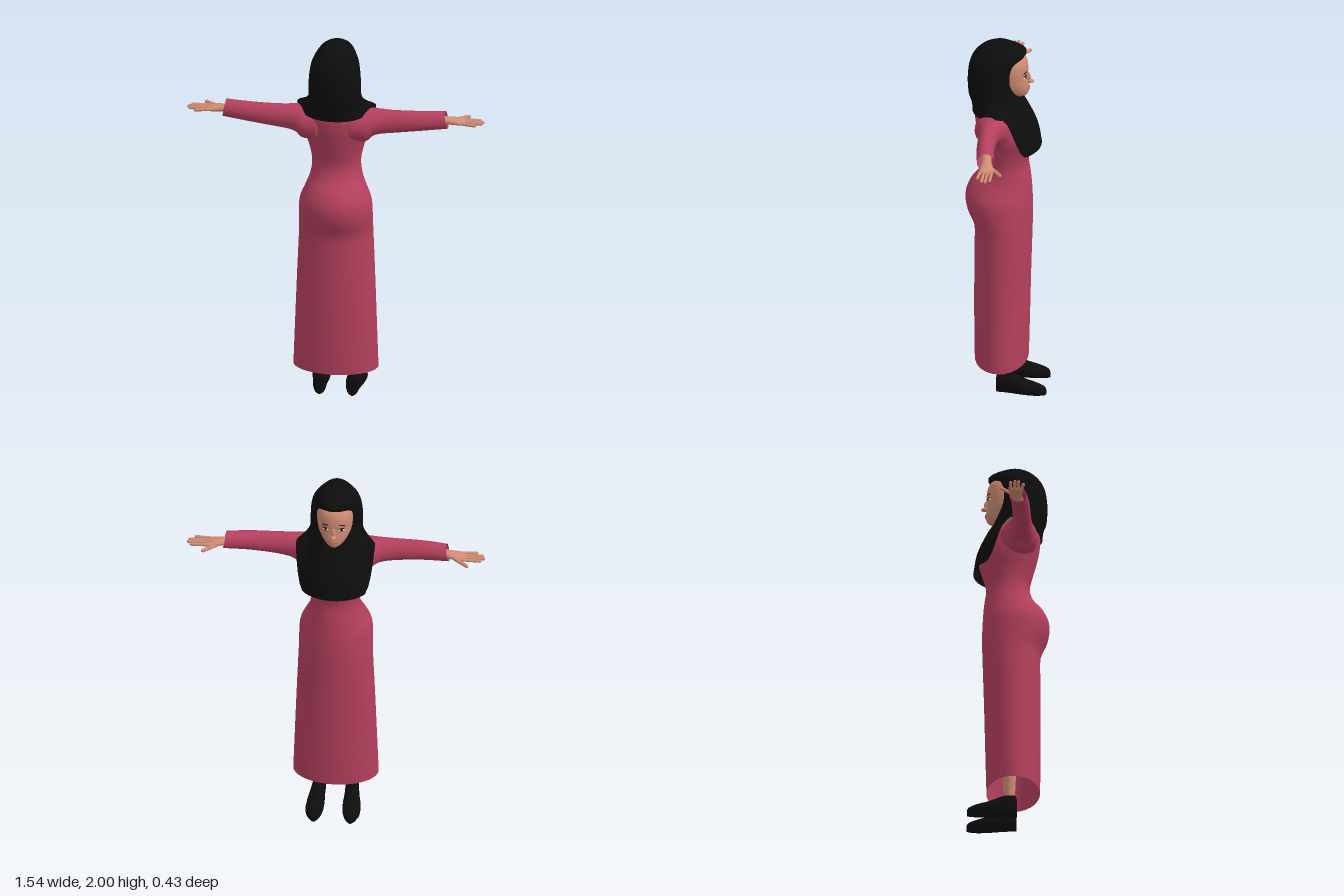
import * as THREE from 'three';

const mat = (name, color, side = THREE.FrontSide) => {
  const m = new THREE.MeshStandardMaterial({ color, side });
  m.name = name;
  return m;
};

// Resample rows of numbers with a smooth curve
function smoothRows(rows, steps = 4) {
  const out = [];
  const at = (i) => rows[Math.min(rows.length - 1, Math.max(0, i))];
  for (let i = 0; i < rows.length - 1; i++) {
    for (let s = 0; s < steps; s++) {
      const t = s / steps;
      out.push(rows[i].map((b, k) => {
        const a = at(i - 1)[k], c = at(i + 1)[k], d = at(i + 2)[k];
        return b + 0.5 * t * (c - a + t * (2 * a - 5 * b + 4 * c - d + t * (3 * (b - c) + d - a)));
      }));
    }
  }
  out.push(rows[rows.length - 1]);
  return out;
}

// Skin closed rings into a surface that faces outward
function loft(rings, capStart, capEnd) {
  const n = rings[0].length, pts = rings.flat(), idx = [];
  for (let i = 0; i < rings.length - 1; i++) {
    for (let j = 0; j < n; j++) {
      const a = i * n + j, b = i * n + (j + 1) % n;
      idx.push(a, b, b + n, a, b + n, a + n);
    }
  }
  const cap = (r, flip) => {
    const c = new THREE.Vector3();
    rings[r].forEach((p) => c.addScaledVector(p, 1 / n));
    const k = pts.push(c) - 1;
    for (let j = 0; j < n; j++) {
      const a = r * n + j, b = r * n + (j + 1) % n;
      if (flip) idx.push(k, b, a); else idx.push(k, a, b);
    }
  };
  if (capStart) cap(0, true);
  if (capEnd) cap(rings.length - 1, false);
  const mid = new THREE.Box3().setFromPoints(pts).getCenter(new THREE.Vector3());
  let volume = 0;
  for (let i = 0; i < idx.length; i += 3) {
    const [a, b, c] = [0, 1, 2].map((k) => pts[idx[i + k]].clone().sub(mid));
    volume += a.dot(b.cross(c));
  }
  if (volume < 0) idx.reverse();
  const g = new THREE.BufferGeometry().setFromPoints(pts);
  g.setIndex(idx);
  g.computeVertexNormals();
  return g;
}

const angles = (n) => Array.from({ length: n }, (_, i) => (i / n) * Math.PI * 2);

// Horizontal rings from rows of [y, half width, front z, back z]
const upright = (rows, n = 36) => smoothRows(rows).map(([y, w, zf, zb]) =>
  angles(n).map((a) => new THREE.Vector3(w * Math.sin(a), y, (zf + zb) / 2 - (zb - zf) / 2 * Math.cos(a))));

// Rings along x from rows of [x, y, z, half height, half depth, slant]
const sideways = (rows, s, n = 20) => smoothRows(rows).map(([x, y, z, h, d, slant = 0]) =>
  angles(n).map((a) => new THREE.Vector3(s * (x - slant * Math.sin(a)), y + h * Math.sin(a), z + d * Math.cos(a))));

export function createModel() {
  const model = new THREE.Group();
  const dressRed = mat('dressRed', 0xb5405e, THREE.DoubleSide);
  const scarfBlack = mat('scarfBlack', 0x0d0d0d, THREE.DoubleSide);
  const skin = mat('skin', 0xd08c74);
  const eyeWhite = mat('eyeWhite', 0xe6dcd6);
  const darkBrown = mat('darkBrown', 0x2a1810);
  const lip = mat('lip', 0xb5685c);

  const add = (name, geo, material) => {
    const m = new THREE.Mesh(geo, material);
    m.name = name;
    model.add(m);
    return m;
  };
  const blob = (name, material, pos, size, turnY = 0, turnZ = 0) => {
    const m = add(name, new THREE.SphereGeometry(1, 16, 12), material);
    m.position.set(...pos);
    m.scale.set(...size);
    m.rotation.set(0, turnY, turnZ);
  };
  const finger = (name, a, b, r) => {
    const p = new THREE.Vector3(...a), q = new THREE.Vector3(...b), d = q.clone().sub(p);
    const m = add(name, new THREE.CapsuleGeometry(r, d.length() - r, 4, 8), skin);
    m.position.copy(p).add(q).multiplyScalar(0.5);
    m.quaternion.setFromUnitVectors(new THREE.Vector3(0, 1, 0), d.normalize());
  };

  // Long dress, open at the hem
  add('dress', loft(upright([
    [0.17, 0.22, -0.11, 0.165], [0.4, 0.212, -0.116, 0.168], [0.65, 0.203, -0.122, 0.168],
    [0.85, 0.195, -0.128, 0.166], [0.95, 0.191, -0.131, 0.17], [1.04, 0.19, -0.133, 0.206],
    [1.12, 0.184, -0.13, 0.213], [1.19, 0.155, -0.126, 0.185], [1.25, 0.133, -0.12, 0.135],
    [1.32, 0.126, -0.112, 0.112], [1.4, 0.14, -0.132, 0.128], [1.47, 0.162, -0.148, 0.147],
    [1.55, 0.172, -0.12, 0.163], [1.62, 0.15, -0.085, 0.163], [1.65, 0.09, -0.04, 0.11],
  ]), false, true), dressRed);

  // Head scarf: rows of [back y, side y, front y, half width, front z, back z]
  const ease = (t) => { const u = Math.min(1, t); return u * u * (3 - 2 * u); };
  const scarfRings = smoothRows([
    [2.0, 2.0, 2.0, 0.006, 0.018, 0.032], [1.985, 1.987, 1.985, 0.05, -0.035, 0.105],
    [1.95, 1.95, 1.95, 0.088, -0.1, 0.152], [1.9, 1.9, 1.9, 0.119, -0.078, 0.184],
    [1.84, 1.84, 1.84, 0.131, -0.06, 0.199], [1.77, 1.77, 1.77, 0.135, -0.055, 0.203],
    [1.7, 1.71, 1.695, 0.136, -0.07, 0.198], [1.67, 1.68, 1.63, 0.152, -0.108, 0.187],
    [1.64, 1.66, 1.52, 0.178, -0.158, 0.18], [1.61, 1.643, 1.41, 0.203, -0.178, 0.178],
  ]).map(([yb, ys, yf, w, zf, zb]) => angles(48).map((a) => {
    const c = Math.cos(a);
    const y = c > 0 ? ys + (yf - ys) * ease(c / 0.65) : ys + (yb - ys) * ease(-c);
    return new THREE.Vector3(w * Math.sin(a), y, (zf + zb) / 2 - (zb - zf) / 2 * c);
  }));
  add('headScarf', loft(scarfRings, true, false), scarfBlack);

  // Face, showing through the scarf
  add('face', loft(upright([
    [1.95, 0.06, -0.065, 0.08], [1.9, 0.088, -0.1, 0.08], [1.85, 0.093, -0.109, 0.08],
    [1.8, 0.09, -0.107, 0.08], [1.76, 0.081, -0.111, 0.08], [1.72, 0.061, -0.112, 0.08],
    [1.697, 0.038, -0.1, 0.06], [1.685, 0.012, -0.075, 0.03],
  ]), true, true), skin);
  blob('noseBridge', skin, [0, 1.797, -0.108], [0.01, 0.03, 0.014]);
  blob('noseTip', skin, [0, 1.776, -0.118], [0.014, 0.011, 0.02]);
  blob('upperLip', lip, [0, 1.739, -0.111], [0.022, 0.005, 0.007]);
  blob('lowerLip', lip, [0, 1.732, -0.111], [0.018, 0.006, 0.006]);

  for (const s of [1, -1]) {
    const side = s > 0 ? 'right' : 'left'; // faces -z, so its own right is +x
    blob(side + 'Eye', eyeWhite, [s * 0.041, 1.814, -0.097], [0.017, 0.009, 0.006], -s * 0.35);
    blob(side + 'Iris', darkBrown, [s * 0.041, 1.814, -0.1], [0.008, 0.0085, 0.005], -s * 0.35);
    blob(side + 'Lashes', darkBrown, [s * 0.042, 1.823, -0.099], [0.018, 0.0025, 0.005], -s * 0.35);
    blob(side + 'Eyebrow', darkBrown, [s * 0.043, 1.843, -0.099], [0.02, 0.003, 0.004], -s * 0.35, -s * 0.12);

    // Sleeve with an open, slanted cuff
    add(side + 'Sleeve', loft(sideways([
      [0.08, 1.555, 0.05, 0.09, 0.1, 0], [0.16, 1.555, 0.055, 0.09, 0.095, 0],
      [0.2, 1.571, 0.06, 0.073, 0.074, 0], [0.24, 1.578, 0.065, 0.066, 0.058, 0],
      [0.32, 1.583, 0.067, 0.06, 0.048, 0], [0.45, 1.591, 0.061, 0.052, 0.046, 0],
      [0.575, 1.597, 0.045, 0.045, 0.045, 0.008],
    ], s, 28), true, false), dressRed);

    // Wrist and palm, then the fingers
    add(side + 'Hand', loft(sideways([
      [0.48, 1.597, 0.05, 0.026, 0.026], [0.57, 1.592, 0.04, 0.02, 0.026],
      [0.615, 1.589, 0.034, 0.018, 0.034], [0.65, 1.586, 0.033, 0.014, 0.038],
      [0.672, 1.585, 0.034, 0.007, 0.035],
    ], s), true, true), skin);
    [[0.004, 0.748, 0.005], [0.024, 0.765, 0.027], [0.044, 0.758, 0.046], [0.062, 0.727, 0.071]]
      .forEach(([z0, x1, z1], i) =>
        finger(side + 'Finger' + (i + 1), [s * 0.65, 1.587, z0], [s * x1, 1.584, z1], 0.0085));
    finger(side + 'Thumb', [s * 0.61, 1.585, 0.012], [s * 0.683, 1.582, -0.044], 0.0095);

    // Leg, mostly hidden by the dress
    const leg = add(side + 'Leg', new THREE.CylinderGeometry(0.045, 0.023, 0.42, 16), skin);
    leg.position.set(s * 0.083, 0.29, 0.008);

    // Shoe: rows of [z, x, top y, half width]
    add(side + 'Shoe', loft(smoothRows([
      [0.046, 0.085, 0.09, 0.012], [0.036, 0.085, 0.118, 0.032], [0.0, 0.086, 0.122, 0.036],
      [-0.04, 0.089, 0.108, 0.039], [-0.1, 0.093, 0.08, 0.046], [-0.16, 0.096, 0.06, 0.044],
      [-0.2, 0.095, 0.045, 0.027], [-0.212, 0.094, 0.03, 0.008],
    ]).map(([z, x, top, w]) => angles(20).map((a) => {
      const sy = Math.sin(a), bottom = 0.0;
      const y = sy < 0 ? 0.5 * top * Math.pow(1 + sy, 1.4) + bottom : top * (0.5 + 0.5 * sy);
      return new THREE.Vector3(s * (x + w * Math.cos(a)), y, z);
    })), true, true), scarfBlack);
  }
  return model;
}
